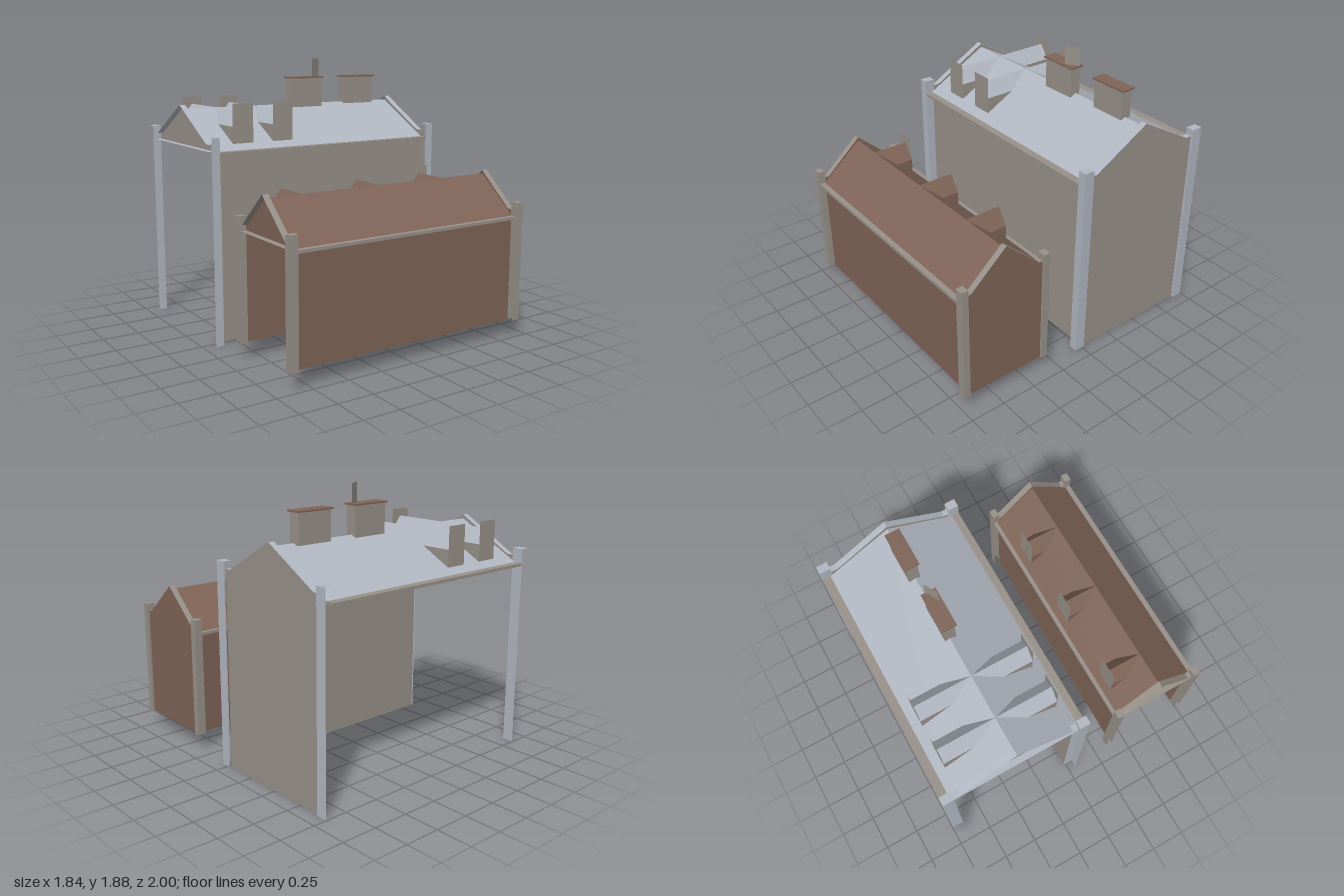
import * as THREE from 'three';

const mat = (name, color) => new THREE.MeshStandardMaterial({ name, color, side: THREE.DoubleSide });

export function createModel() {
  const stone = mat('warm grey stone', 0x979089);
  const slate = mat('pale blue slate', 0xb0b6c0);
  const brick = mat('brown brick', 0x7f6457);
  const model = new THREE.Group();
  model.name = 'twoHouses';

  // flat convex polygons gathered into one open surface
  function faces(parent, name, material, polys) {
    const v = [];
    for (const p of polys)
      for (let i = 1; i < p.length - 1; i++) v.push(...p[0], ...p[i], ...p[i + 1]);
    const g = new THREE.BufferGeometry();
    g.setAttribute('position', new THREE.Float32BufferAttribute(v, 3));
    g.computeVertexNormals();
    const m = new THREE.Mesh(g, material);
    m.name = name;
    parent.add(m);
  }

  // box given by its limits
  function box(parent, name, material, x0, x1, y0, y1, z0, z1) {
    const m = new THREE.Mesh(new THREE.BoxGeometry(x1 - x0, y1 - y0, z1 - z0), material);
    m.position.set((x0 + x1) / 2, (y0 + y1) / 2, (z0 + z1) / 2);
    m.name = name;
    parent.add(m);
  }

  const xWall = (x, pts) => pts.map(([z, y]) => [x, y, z]);
  const zWall = (z, x0, x1, y0, y1) => [[x0, y0, z], [x1, y0, z], [x1, y1, z], [x0, y1, z]];

  function house(o) {
    const h = new THREE.Group();
    h.name = o.name;
    h.position.x = o.x;
    model.add(h);
    const { base, eave, ridge, zr, shoulder, peak } = o;
    const inner = 0.855, gable = 0.898, outer = 0.914;
    const [roofF, roofB] = o.roofZ, [endF, endB] = o.postInner, [outF, outB] = o.postOuter;
    const [stepF, stepB] = o.step;

    // long walls
    faces(h, 'frontWall', o.wall, [zWall(o.wallZ[0], -inner, inner, base, eave)]);
    if (o.hasBack) faces(h, 'backWall', o.wall, [zWall(o.wallZ[1], -inner, inner, base, eave)]);

    // full gable wall on one end, open end on the other with only its upper triangle
    const top = [[endF, shoulder], [stepF, shoulder], [zr, peak], [stepB, shoulder], [endB, shoulder]];
    faces(h, 'gableWall', o.wall, [xWall(gable, [[zr, base], [endF, base], ...top, [endB, base]])]);
    faces(h, 'openGable', o.wall, [xWall(-inner, [[zr, eave], [endF, eave], ...top, [endB, eave]])]);

    // sloping gable copings
    for (const s of [-1, 1]) {
      const strips = [];
      for (let i = 0; i < top.length - 1; i++) {
        const [a, b] = [top[i], top[i + 1]];
        strips.push([[s * inner, a[1], a[0]], [s * gable, a[1], a[0]],
          [s * gable, b[1], b[0]], [s * inner, b[1], b[0]]]);
      }
      faces(h, 'gableCoping', o.trim, strips);
    }
    faces(h, 'gableLedge', o.trim, [[[-inner, eave, endF], [-gable, eave, endF],
      [-gable, eave, endB], [-inner, eave, endB]]]);

    // main roof slopes
    faces(h, 'roof', o.roof, [roofF, roofB].map((z) =>
      [[-inner, eave, z], [inner, eave, z], [inner, ridge, zr], [-inner, ridge, zr]]));

    // eaves cornices
    box(h, 'frontCornice', stone, -inner, inner, eave - 0.02, eave, roofF - 0.01, outF - 0.003);
    box(h, 'backCornice', stone, -inner, inner, eave - 0.02, eave, outB + 0.003, roofB + 0.01);

    // corner posts, open on their hidden sides
    for (const s of [-1, 1])
      for (const [z0, z1] of [[endF, outF], [outB, endB]]) {
        const x0 = s > 0 ? inner : -outer, x1 = s > 0 ? outer : -inner, t = o.postTop;
        const sides = [
          zWall(z1, x0, x1, base, t),
          xWall(x1, [[z0, base], [z1, base], [z1, t], [z0, t]]),
          [[x0, t, z0], [x0, t, z1], [x1, t, z1], [x1, t, z0]],
        ];
        if (o.hasBack) sides.push(zWall(z0, x0, x1, base, t));
        faces(h, 'cornerPost', o.trim, sides);
      }

    // dormers: gabled roof running into the main ridge, with a flat false front
    for (const xc of o.dormers.x)
      for (const zf of o.dormers.z) {
        const { eave: de, low, high } = o.dormers, w = 0.077;
        const zEdge = o.roofZ[zf > zr ? 0 : 1];
        const zm = zEdge + (zr - zEdge) * (de - eave) / (ridge - eave);
        const d = new THREE.Group();
        d.name = 'dormer';
        d.position.x = xc - o.x;
        h.add(d);
        faces(d, 'dormerRoof', o.roof, [-w, w].map((x) =>
          [[0, ridge, zf], [x, de, zf], [x, de, zm], [0, ridge, zr]]));
        faces(d, 'dormerCheeks', o.wall, [-w, w].map((x) =>
          xWall(x, [[zf, low], [zf, de], [zr, de], [zr, low]])));
        faces(d, 'dormerFront', stone, [zWall(zf, -w, w, low, high)]);
      }
    return h;
  }

  // tall rear house
  house({
    name: 'tallHouse', x: -0.006, base: 0, eave: 1.3, ridge: 1.55, zr: -0.468,
    shoulder: 1.348, peak: 1.577, roofZ: [0, -0.937], wallZ: [-0.01, -0.93],
    postInner: [-0.02, -0.918], postOuter: [0.055, -0.997], step: [-0.06, -0.873],
    postTop: 1.397, wall: stone, roof: slate, trim: slate, hasBack: false,
    dormers: { x: [-0.627, -0.32], z: [-0.067, -0.874], eave: 1.45, low: 1.332, high: 1.602 },
  });

  // low front house
  house({
    name: 'lowHouse', x: 0.005, base: 0.12, eave: 0.85, ridge: 1.1, zr: 0.66,
    shoulder: 0.892, peak: 1.123, roofZ: [0.96, 0.36], wallZ: [0.955, 0.37],
    postInner: [0.952, 0.377], postOuter: [1, 0.33], step: [0.922, 0.402],
    postTop: 0.943, wall: brick, roof: brick, trim: stone, hasBack: true,
    dormers: { x: [-0.615, -0.035, 0.495], z: [0.405], eave: 0.99, low: 0.88, high: 1.154 },
  });

  // chimneys with flat caps
  for (const [x, z, y] of [[0.095, -0.461, 1.527], [0.571, -0.473, 1.537]]) {
    const c = new THREE.Group();
    c.name = 'chimney';
    c.position.set(x, 0, z);
    model.add(c);
    box(c, 'chimneyStack', stone, -0.13, 0.13, y, 1.737, -0.04, 0.04);
    box(c, 'chimneyCap', brick, -0.142, 0.142, 1.737, 1.748, -0.052, 0.052);
  }

  // single upright flue plate set at an angle
  faces(model, 'fluePlate', stone, [[[0.147, 1.748, -0.428], [0.238, 1.748, -0.482],
    [0.238, 1.878, -0.482], [0.147, 1.878, -0.428]]]);

  return model;
}
